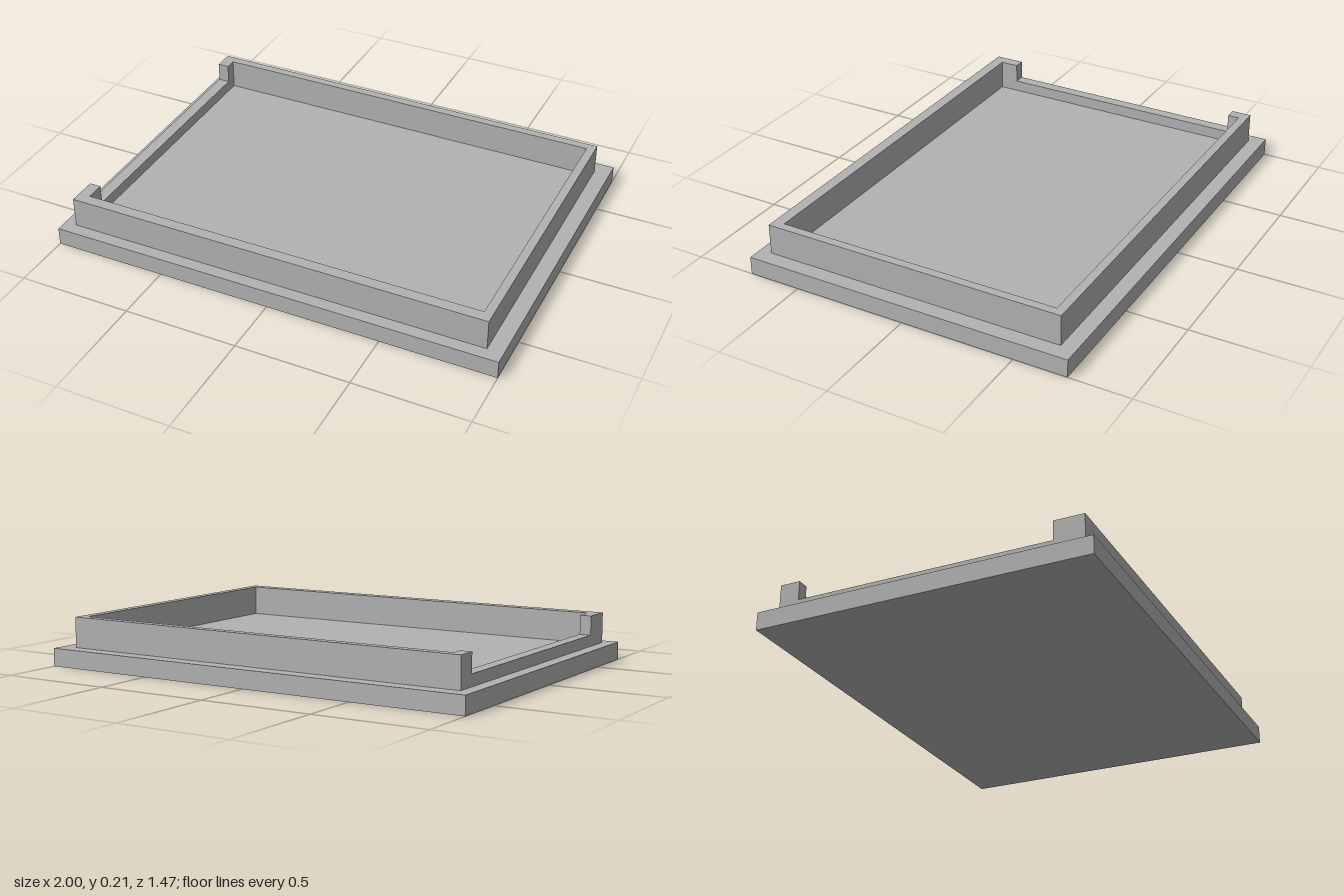
import * as THREE from 'three';

export function createModel() {
  const model = new THREE.Group();
  const grey = new THREE.MeshStandardMaterial({ color: 0xb2b2b2 });
  grey.name = 'plain grey';

  // Adds a box given by its limits on each axis
  function block(name, [x0, x1], [y0, y1], [z0, z1]) {
    const mesh = new THREE.Mesh(new THREE.BoxGeometry(x1 - x0, y1 - y0, z1 - z0), grey);
    mesh.position.set((x0 + x1) / 2, (y0 + y1) / 2, (z0 + z1) / 2);
    mesh.name = name;
    model.add(mesh);
  }

  const floor = 0.079, sill = 0.129, top = 0.213;
  const outer = { x: [-0.946, 0.931], z: [-0.667, 0.678] };
  const inner = { x: [-0.895, 0.893], z: [-0.629, 0.628] };
  const notch = [-0.578, 0.546];
  const wall = [floor, top];

  // Flat base
  block('basePlate', [-1, 1], [0, floor], [-0.733, 0.733]);

  // Three full walls of the rim
  block('backWall', outer.x, wall, [outer.z[0], inner.z[0]]);
  block('frontWall', outer.x, wall, [inner.z[1], outer.z[1]]);
  block('leftWall', [inner.x[1], outer.x[1]], wall, inner.z);

  // Notched wall: a post at each end and a low sill between
  const side = [outer.x[0], inner.x[0]];
  block('backPost', side, wall, [inner.z[0], notch[0]]);
  block('frontPost', side, wall, [notch[1], inner.z[1]]);
  block('notchSill', side, [floor, sill], notch);

  return model;
}
